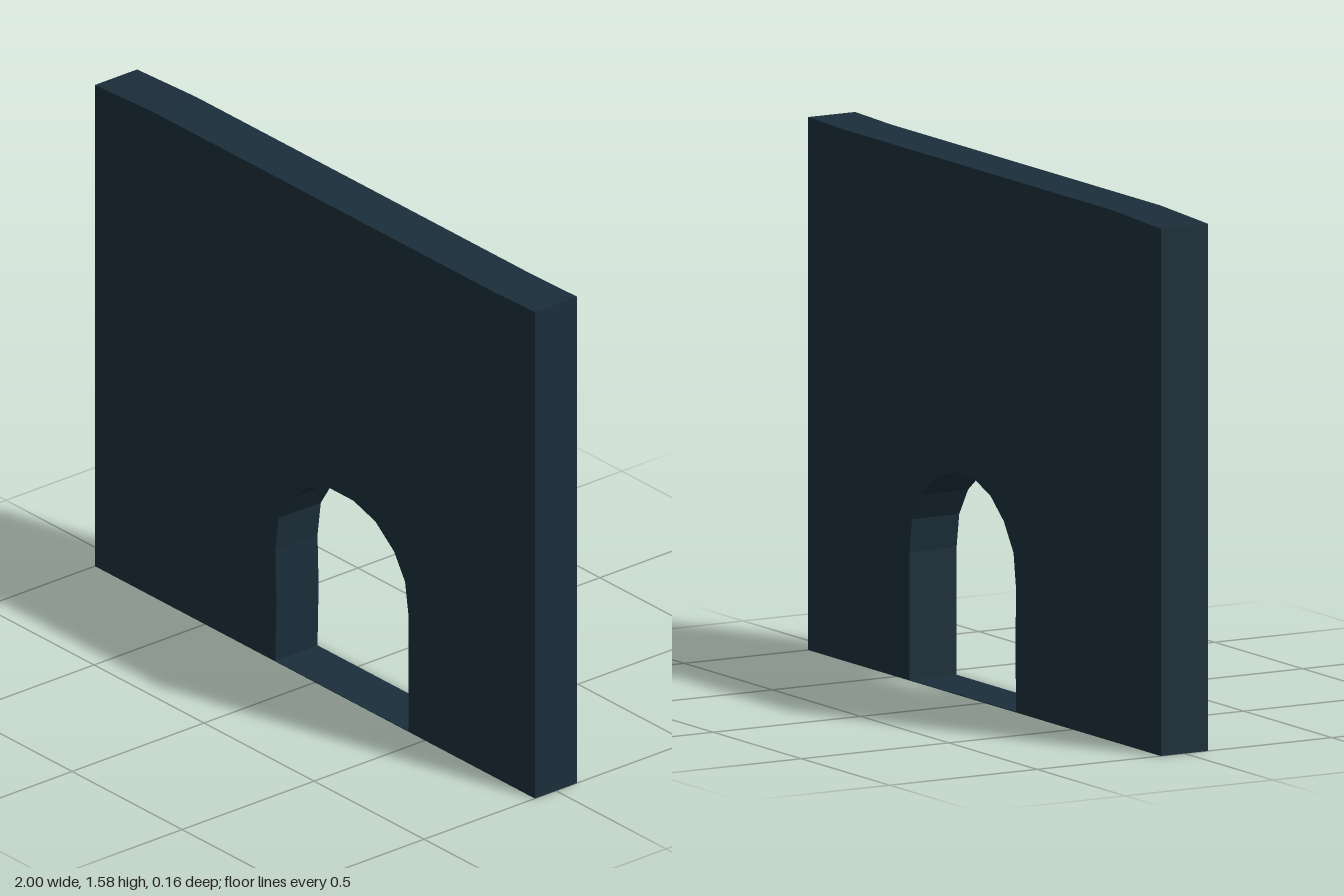
import * as THREE from 'three';

const DEPTH = 0.16;
const toPoints = (list) => list.map(([x, y]) => new THREE.Vector2(x, y));

export function createModel() {
  const group = new THREE.Group();
  group.name = 'archedWall';

  // Wall outline with a slightly uneven top edge
  const outline = new THREE.Shape(toPoints([
    [-1, 0], [1, 0], [1, 1.577], [0.8, 1.572], [-0.73, 1.572], [-1, 1.56],
  ]));

  // Faceted, slightly irregular archway above a paper-thin threshold
  outline.holes.push(new THREE.Path(toPoints([
    [-0.18, 0.002], [-0.175, 0.2], [-0.18, 0.36], [-0.165, 0.47],
    [-0.11, 0.555], [-0.035, 0.618], [0.06, 0.655], [0.175, 0.655],
    [0.275, 0.625], [0.36, 0.56], [0.41, 0.48], [0.425, 0.38], [0.425, 0.002],
  ])));

  const geometry = new THREE.ExtrudeGeometry(outline, { depth: DEPTH, bevelEnabled: false });
  geometry.translate(0, 0, -DEPTH / 2);

  const material = new THREE.MeshStandardMaterial({ color: 0x1b2e3a, flatShading: true });
  const wall = new THREE.Mesh(geometry, material);
  wall.name = 'wallWithArchway';
  group.add(wall);

  return group;
}
